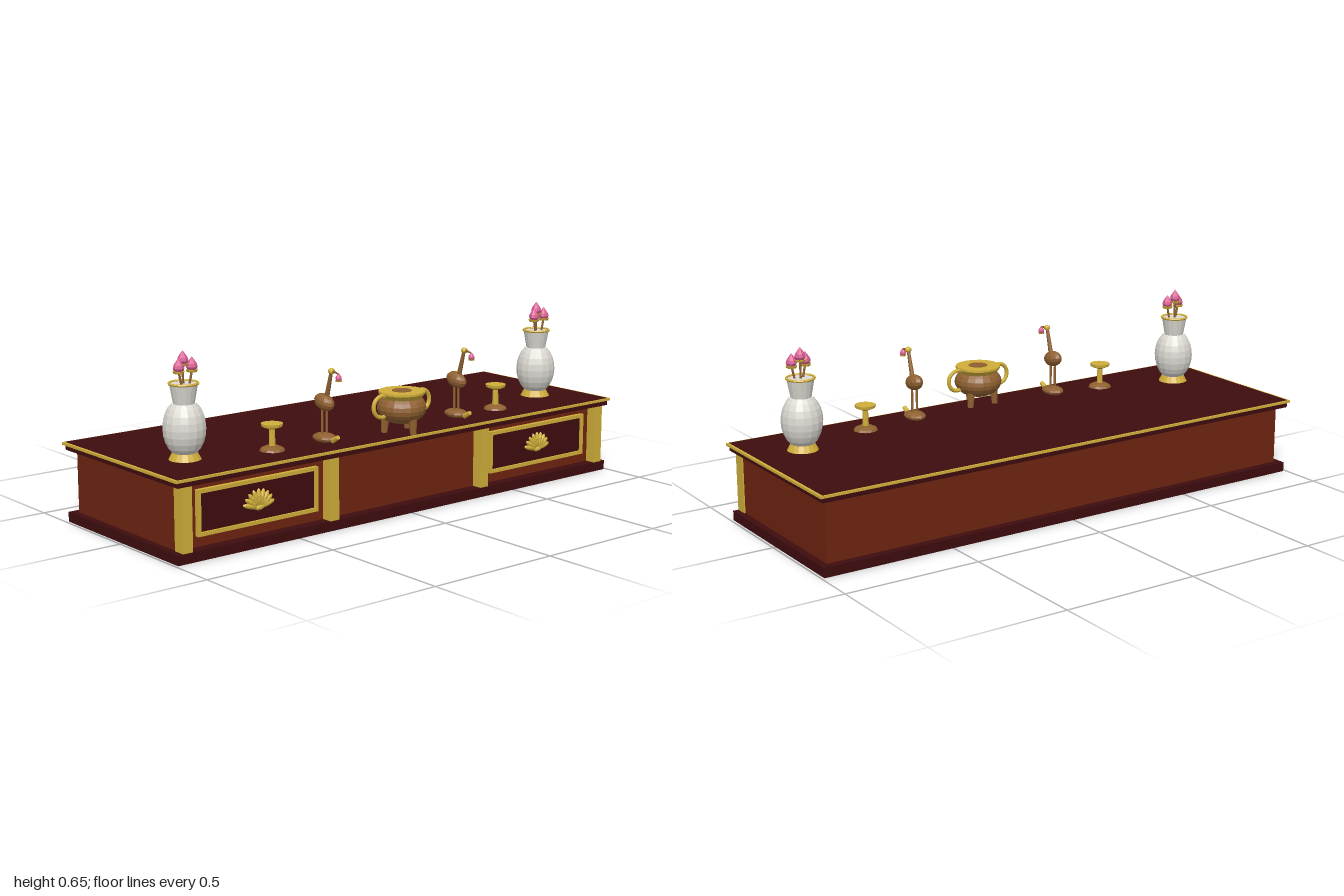
import * as THREE from 'three';

const mat = (name, color, extra = {}) => Object.assign(new THREE.MeshStandardMaterial({ color, ...extra }), { name });

export function createModel() {
  const faceted = { flatShading: true };
  const redWood = mat('red wood', 0x6e2410);
  const darkWood = mat('dark wood', 0x3e0c0e);
  const gold = mat('gold', 0xd0ae3a, faceted);
  const bronze = mat('bronze', 0x8f6030, faceted);
  const porcelain = mat('porcelain', 0xdcd9d2, faceted);
  const pink = mat('petal pink', 0xd85c92, faceted);

  const model = new THREE.Group();
  model.name = 'altarTable';

  // --- helpers ---
  const add = (parent, name, geo, material, x = 0, y = 0, z = 0) => {
    const m = new THREE.Mesh(geo, material);
    m.name = name;
    m.position.set(x, y, z);
    parent.add(m);
    return m;
  };
  const group = (name, x, y, z) => {
    const g = new THREE.Group();
    g.name = name;
    g.position.set(x, y, z);
    model.add(g);
    return g;
  };
  // box from its lower and upper corners
  const box = (parent, name, material, x0, x1, y0, y1, z0, z1) =>
    add(parent, name, new THREE.BoxGeometry(x1 - x0, y1 - y0, z1 - z0), material,
      (x0 + x1) / 2, (y0 + y1) / 2, (z0 + z1) / 2);
  const lathe = (points, sides) =>
    new THREE.LatheGeometry(points.map(([r, y]) => new THREE.Vector2(r, y)), sides);
  const ellipsoid = (rx, ry, rz, w = 12, h = 8) => new THREE.SphereGeometry(1, w, h).scale(rx, ry, rz);
  // round rod between two points
  const rod = (parent, name, material, a, b, r0, r1 = r0) => {
    const from = new THREE.Vector3(...a), to = new THREE.Vector3(...b);
    const dir = to.clone().sub(from);
    const m = add(parent, name, new THREE.CylinderGeometry(r1, r0, dir.length(), 8), material);
    m.position.copy(from).add(to).multiplyScalar(0.5);
    m.quaternion.setFromUnitVectors(new THREE.Vector3(0, 1, 0), dir.normalize());
    return m;
  };
  // lotus bud on a small gold dish
  const bud = (parent, x, y, z, s) => {
    const g = new THREE.Group();
    g.name = 'lotusBud';
    g.position.set(x, y, z);
    g.scale.setScalar(s);
    parent.add(g);
    add(g, 'dish', new THREE.CylinderGeometry(0.021, 0.018, 0.008, 10), gold, 0, -0.002, 0);
    add(g, 'petals', lathe([[0, 0], [0.015, 0.002], [0.02, 0.011], [0.017, 0.022], [0.008, 0.035], [0, 0.046]], 10), pink);
  };

  // --- table ---
  const table = group('table', 0, 0, 0);
  box(table, 'plinth', darkWood, -0.99, 0.99, 0, 0.035, -0.346, 0.327);
  box(table, 'body', redWood, -0.965, 0.965, 0.035, 0.255, -0.317, 0.287);
  box(table, 'topSlab', darkWood, -0.99, 0.99, 0.255, 0.2835, -0.35, 0.333);
  box(table, 'topTrim', gold, -1, 1, 0.273, 0.282, -0.357, 0.34);

  for (const side of [-1, 1]) {
    for (const x of [0.951, 0.35])
      box(table, 'pilaster', gold, side * x - 0.019, side * x + 0.019, 0.035, 0.255, 0.28, 0.327);

    // framed front panel
    const panel = group('drawerPanel', side * 0.648, 0.15, 0.287);
    box(panel, 'panel', darkWood, -0.235, 0.235, -0.068, 0.068, 0, 0.008);
    const frame = new THREE.Shape([[-0.246, -0.078], [0.246, -0.078], [0.246, 0.078], [-0.246, 0.078]]
      .map(([x, y]) => new THREE.Vector2(x, y)));
    frame.holes.push(new THREE.Path([[-0.233, -0.065], [-0.233, 0.065], [0.233, 0.065], [0.233, -0.065]]
      .map(([x, y]) => new THREE.Vector2(x, y))));
    add(panel, 'frame', new THREE.ExtrudeGeometry(frame, { depth: 0.016, bevelEnabled: false }), gold);

    // scallop shell made of fanned lobes
    for (let i = 0; i < 9; i++) {
      const a = Math.PI * (0.08 + 0.84 * i / 8);
      const lobe = add(panel, 'shellLobe', ellipsoid(0.033, 0.0095, 0.01, 10, 8), gold,
        Math.cos(a) * 0.034, -0.022 + Math.sin(a) * 0.032, 0.01);
      lobe.rotation.z = a;
    }
    add(panel, 'shellHinge', ellipsoid(0.02, 0.01, 0.012), gold, 0, -0.022, 0.01);
  }

  // --- ornaments in mirrored pairs ---
  const topY = 0.283;
  for (const side of [-1, 1]) {
    // vase with three lotus buds
    const vase = group('vase', side * 0.815, topY, 0.118);
    add(vase, 'foot', lathe([[0, 0], [0.055, 0], [0.042, 0.024], [0, 0.024]], 16), gold);
    const belly = [];
    for (let i = 0; i <= 8; i++) {
      const t = -0.98 + 1.96 * i / 8;
      belly.push([0.073 * Math.cos(t), 0.106 + 0.1 * Math.sin(t)]);
    }
    add(vase, 'belly', lathe(belly, 16), porcelain);
    add(vase, 'neck', lathe([[0.036, 0.188], [0.048, 0.254], [0, 0.254]], 16), porcelain);
    add(vase, 'lip', new THREE.TorusGeometry(0.048, 0.0045, 6, 20).rotateX(Math.PI / 2), gold, 0, 0.255, 0);
    for (const [x, y, z] of [[0, 0.319, -0.002], [-0.026, 0.298, 0.012], [0.026, 0.298, 0.012]]) {
      rod(vase, 'stem', bronze, [x * 0.6, 0.25, z], [x, y, z], 0.004);
      bud(vase, x, y, z, 0.98);
    }

    // offering cup
    const cup = group('offeringCup', side * 0.52, topY, 0.203);
    add(cup, 'base', lathe([[0, 0], [0.044, 0], [0.04, 0.008], [0.024, 0.016], [0, 0.019]], 12), bronze);
    add(cup, 'stem', new THREE.CylinderGeometry(0.01, 0.012, 0.066, 10), gold, 0, 0.045, 0);
    add(cup, 'bowl', lathe([[0, 0.072], [0.012, 0.074], [0.036, 0.084], [0.038, 0.094], [0, 0.094]], 12), gold);

    // crane standing on a turtle
    const crane = group('crane', side * 0.307, topY, 0.218);
    add(crane, 'turtleShell', ellipsoid(0.037, 0.017, 0.05), bronze, 0, 0.016, 0);
    rod(crane, 'turtleHead', gold, [0, 0.029, 0.074], [0, 0.012, 0.045], 0.008, 0.01);
    for (const x of [-0.01, 0.01])
      rod(crane, 'leg', bronze, [x, 0.025, 0], [x, 0.118, 0], 0.0045);
    add(crane, 'body', ellipsoid(0.027, 0.029, 0.046), bronze, 0, 0.14, 0).rotation.x = 0.22;
    rod(crane, 'neck', bronze, [0, 0.155, 0.012], [0, 0.25, 0.038], 0.009, 0.006);
    add(crane, 'head', ellipsoid(0.012, 0.011, 0.012), gold, 0, 0.253, 0.039);
    rod(crane, 'beak', bronze, [0, 0.254, 0.045], [0, 0.248, 0.08], 0.005, 0.002);
    bud(crane, 0, 0.226, 0.077, 0.58);
  }

  // --- incense burner ---
  const burner = group('incenseBurner', 0, topY, 0.268);
  const bowl = [[0, 0.03]];
  for (let i = 1; i <= 9; i++) {
    const t = -Math.PI / 2 + 2.3 * i / 9;
    bowl.push([0.088 * Math.cos(t), 0.088 + 0.058 * Math.sin(t)]);
  }
  add(burner, 'bowl', lathe(bowl, 18), bronze);
  add(burner, 'rim', lathe([[0.068, 0.122], [0.076, 0.132], [0.083, 0.14], [0.083, 0.148], [0, 0.148]], 18), gold);
  add(burner, 'ash', new THREE.CylinderGeometry(0.035, 0.035, 0.004, 14), bronze, 0, 0.148, 0);
  for (let i = 0; i < 3; i++) {
    const a = i * Math.PI * 2 / 3, s = Math.sin(a), c = Math.cos(a);
    rod(burner, 'leg', bronze, [s * 0.062, 0, c * 0.062], [s * 0.058, 0.062, c * 0.058], 0.011, 0.016);
  }
  for (const side of [-1, 1]) {
    const handle = add(burner, 'handle', new THREE.TorusGeometry(0.038, 0.0075, 8, 20, Math.PI * 1.3), gold, side * 0.091, 0.102, 0);
    handle.rotation.z = (side > 0 ? 0 : Math.PI) - Math.PI * 0.65;
  }
  return model;
}
